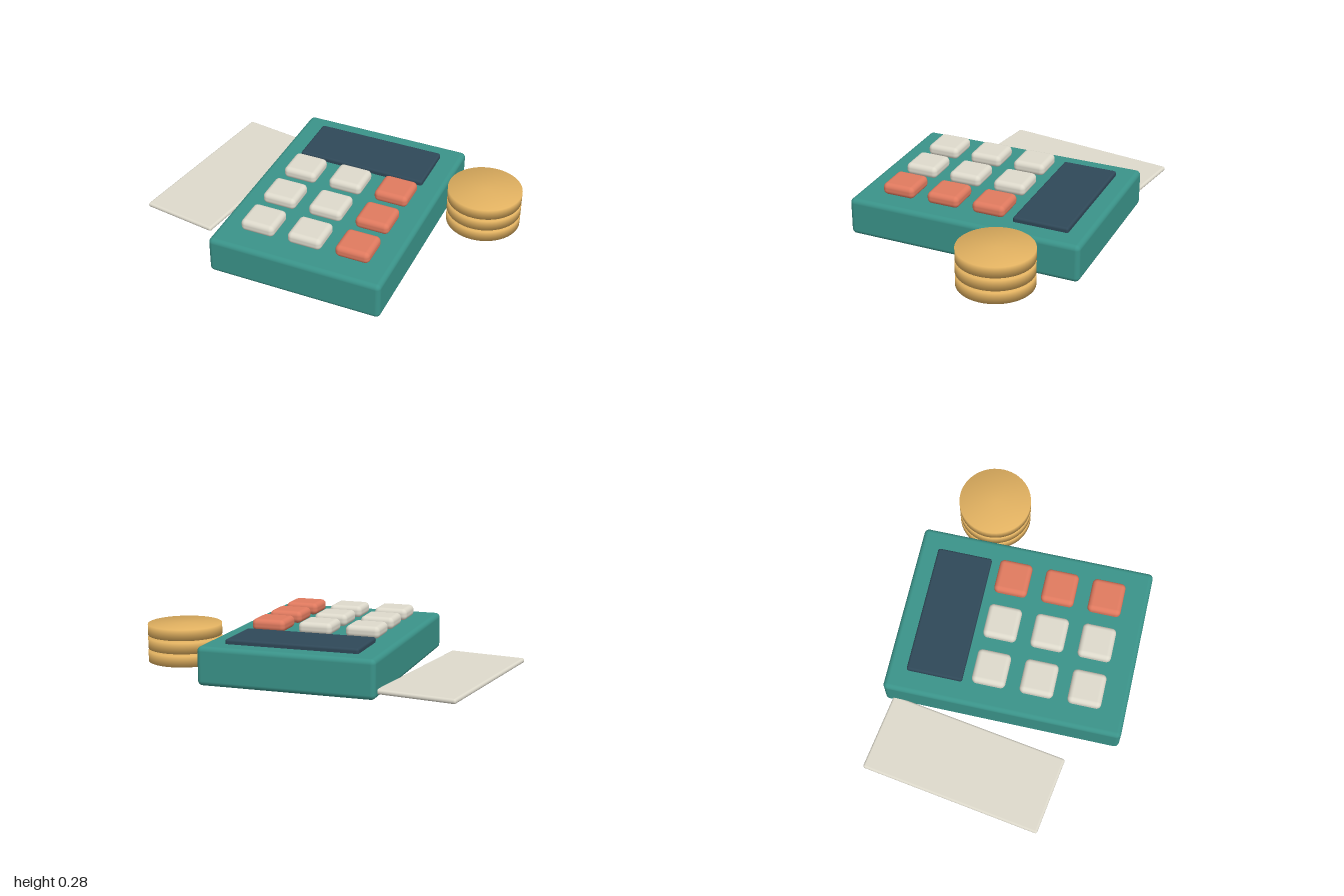
import * as THREE from 'three';
import { RoundedBoxGeometry } from 'three/addons/geometries/RoundedBoxGeometry.js';
import { mergeVertices } from 'three/addons/utils/BufferGeometryUtils.js';

function material(name, color) {
  const m = new THREE.MeshStandardMaterial({ color });
  m.name = name;
  return m;
}

// Cylinder with normals shared between caps and side, for a softly shaded rim
function softDisc(radius, height) {
  const g = new THREE.CylinderGeometry(radius, radius, height, 48);
  g.deleteAttribute('uv');
  g.deleteAttribute('normal');
  const merged = mergeVertices(g, 1e-4);
  merged.computeVertexNormals();
  return merged;
}

export function createModel() {
  const model = new THREE.Group();
  model.name = 'calculatorWithCoins';

  const teal = material('teal', 0x3a9389);
  const navy = material('navy', 0x2f4858);
  const cream = material('cream', 0xdedacc);
  const coral = material('coral', 0xe07a5f);
  const gold = material('gold', 0xe0b060);

  function add(name, geometry, mat, x, y, z, parent = model) {
    const mesh = new THREE.Mesh(geometry, mat);
    mesh.name = name;
    mesh.position.set(x, y, z);
    parent.add(mesh);
    return mesh;
  }

  // Calculator case and display
  add('case', new RoundedBoxGeometry(0.987, 0.213, 1.333, 4, 0.027), teal, 0.07, 0.1065, 0.01);
  add('display', new RoundedBoxGeometry(0.745, 0.04, 0.313, 3, 0.013), navy, 0.071, 0.22, -0.392);

  // Three by three keypad, last column coral
  const keys = new THREE.Group();
  keys.name = 'keypad';
  model.add(keys);
  const keyGeometry = new RoundedBoxGeometry(0.194, 0.067, 0.187, 4, 0.027);
  for (let row = 0; row < 3; row++) {
    for (let col = 0; col < 3; col++) {
      add(`key${row * 3 + col + 1}`, keyGeometry, col === 2 ? coral : cream,
        0.072 + (col - 1) * 0.274, 0.246, -0.09 + row * 0.267, keys);
    }
  }

  // Stack of three coins
  const coins = new THREE.Group();
  coins.name = 'coinStack';
  model.add(coins);
  const coinGeometry = softDisc(0.206, 0.061);
  for (let i = 0; i < 3; i++) {
    add(`coin${i + 1}`, coinGeometry, gold, 0.794, 0.08 + i * 0.0735, -0.298, coins);
  }

  // Receipt slip lying at an angle beside the case
  const slip = add('receipt', new RoundedBoxGeometry(0.443, 0.027, 1.025, 3, 0.013), cream, -0.704, 0.037, -0.134);
  slip.rotation.y = -0.15;

  return model;
}
